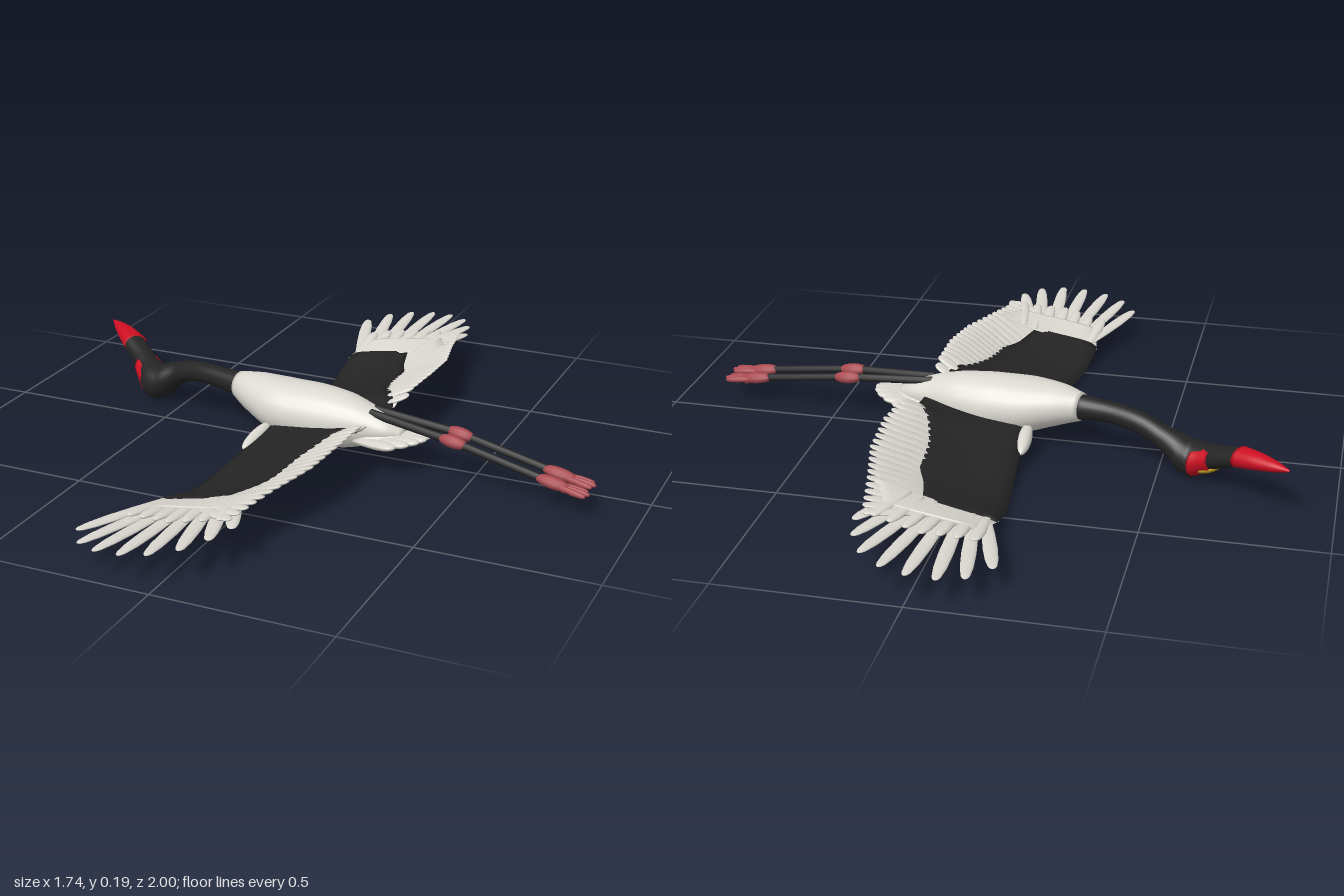
import * as THREE from 'three';

const V = (x, y, z) => new THREE.Vector3(x, y, z);
const paint = (name, color) => {
  const m = new THREE.MeshStandardMaterial({ color });
  m.name = name;
  return m;
};

// Piecewise linear lookup in [[key, value], ...]
const lookup = (table, k) => {
  if (k <= table[0][0]) return table[0][1];
  for (let i = 1; i < table.length; i++) {
    const [a, va] = table[i - 1], [b, vb] = table[i];
    if (k <= b) return va + (vb - va) * (k - a) / (b - a);
  }
  return table[table.length - 1][1];
};

// Skin over closed rings, with capped ends and faces turned outward
function skin(rings) {
  const n = rings[0].length, pos = [], idx = [];
  rings.forEach(r => r.forEach(p => pos.push(p.x, p.y, p.z)));
  for (let i = 0; i < rings.length - 1; i++) {
    for (let j = 0; j < n; j++) {
      const a = i * n + j, b = i * n + (j + 1) % n;
      idx.push(a, a + n, b, b, a + n, b + n);
    }
  }
  [0, rings.length - 1].forEach((r, end) => {
    const c = rings[r].reduce((s, p) => s.add(p), V(0, 0, 0)).divideScalar(n);
    const k = pos.length / 3;
    pos.push(c.x, c.y, c.z);
    for (let j = 0; j < n; j++) {
      const a = r * n + j, b = r * n + (j + 1) % n;
      idx.push(k, end ? b : a, end ? a : b);
    }
  });
  let volume = 0;
  const at = i => V(pos[i * 3], pos[i * 3 + 1], pos[i * 3 + 2]);
  for (let i = 0; i < idx.length; i += 3) volume += at(idx[i]).dot(at(idx[i + 1]).cross(at(idx[i + 2])));
  if (volume < 0) idx.reverse();
  const g = new THREE.BufferGeometry();
  g.setAttribute('position', new THREE.Float32BufferAttribute(pos, 3));
  g.setIndex(idx);
  g.computeVertexNormals();
  return g;
}

// Smooth body through sections [x, y, z, half height, half width]
function tubeThrough(sections, steps = 40, sides = 24) {
  const path = new THREE.CatmullRomCurve3(sections.map(s => V(s[0], s[1], s[2])));
  const size = new THREE.CatmullRomCurve3(sections.map(s => V(s[3], s[4], 0)));
  const rings = [];
  for (let i = 0; i <= steps; i++) {
    const c = path.getPoint(i / steps), r = size.getPoint(i / steps), t = path.getTangent(i / steps);
    const side = V(-t.z, 0, t.x).normalize();
    rings.push(Array.from({ length: sides }, (_, j) => {
      const a = j / sides * Math.PI * 2;
      return c.clone().addScaledVector(side, Math.cos(a) * Math.max(r.y, 0.002))
        .add(V(0, Math.sin(a) * Math.max(r.x, 0.002), 0));
    }));
  }
  return skin(rings);
}

// Flattened spindle from p to q; shape lists [radius, position] along it
const FEATHER = [[0, 0], [0.7, 0.02], [0.9, 0.3], [1, 0.6], [0.88, 0.82], [0.6, 0.95], [0.35, 0.985], [0, 1]];
const OVAL = Array.from({ length: 11 }, (_, i) => [Math.sin(i * Math.PI / 10), (1 - Math.cos(i * Math.PI / 10)) / 2]);
function spindle(p, q, width, thick, shape = FEATHER, sides = 10) {
  const g = new THREE.LatheGeometry(shape.map(s => new THREE.Vector2(Math.max(s[0], 0), s[1])), sides);
  const d = q.clone().sub(p), along = d.clone().normalize();
  const side = along.clone().cross(V(0, 1, 0)).normalize();
  const up = side.clone().cross(along);
  const m = new THREE.Matrix4().makeBasis(side.multiplyScalar(width), d, up.multiplyScalar(thick));
  return g.applyMatrix4(m.setPosition(p));
}

// Wing outline by span: leading edge, colour border, trailing edge, their heights, and the sag between
const LEAD = [[0, -0.11], [0.1, -0.115], [0.3, -0.138], [0.5, -0.165], [0.6, -0.172], [0.7, -0.17], [0.8, -0.165]];
const BORDER = [[0, 0.19], [0.1, 0.19], [0.15, 0.165], [0.2, 0.135], [0.3, 0.105], [0.44, 0.09], [0.5, 0.06], [0.62, 0.025]];
const TRAIL = [[0, 0.2], [0.12, 0.21], [0.3, 0.217], [0.45, 0.205], [0.6, 0.167], [0.7, 0.145], [0.8, 0.122]];
const LEAD_Y = [[0, 0.09], [0.1, 0.075], [0.2, 0.052], [0.3, 0.034], [0.4, 0.018], [0.47, 0.018], [0.6, 0.052], [0.7, 0.075], [0.85, 0.09], [1, 0.1]];
const TRAIL_Y = [[0, 0.115], [0.09, 0.125], [0.16, 0.165], [0.3, 0.168], [0.6, 0.145], [0.8, 0.122], [1, 0.11]];
const SAG = [[0, 0], [0.12, 0.01], [0.25, 0.02], [0.5, 0.02], [0.75, 0]];
const lead = z => lookup(LEAD, z), border = z => lookup(BORDER, z), trail = z => lookup(TRAIL, z);

// Point on the wing sheet; s is the side, with a slight yaw of the bird and a wider back wing
function onWing(x, z, s, lift = 0) {
  const k = (x - lead(z)) / (trail(z) - lead(z));
  const y0 = lookup(LEAD_Y, z), y1 = lookup(TRAIL_Y, z);
  const sag = lookup(SAG, z) * Math.sin(Math.PI * THREE.MathUtils.clamp(k, 0, 1));
  const spread = s < 0 ? 0.12 * Math.max(0, x - 0.09) : 0;
  return V(x + spread - 0.04 * s * z, y0 + k * (y1 - y0) - sag + lift, s * z);
}

// Thin wing panel between two edge rules
function panel(z0, z1, from, to, half, s) {
  const rings = [], n = 10;
  for (let i = 0; i <= 24; i++) {
    const z = z0 + (z1 - z0) * i / 24, ring = [];
    for (let j = 0; j <= 2 * n; j++) {
      const top = j <= n, t = (top ? j : 2 * n - j + 0.4) / n;
      const u = Math.min(t, 1);
      const h = half * Math.sin(Math.PI * 0.86 * Math.sqrt(u));
      ring.push(onWing(from(z) + (to(z) - from(z)) * u, z, s, top ? h : -h));
    }
    rings.push(ring);
  }
  return skin(rings);
}

export function createModel() {
  const bird = new THREE.Group();
  bird.name = 'flyingBird';
  const white = paint('white plumage', 0xdad7d0);
  const black = paint('black plumage', 0x242424);
  const red = paint('red bill', 0xcc0f22);
  const pink = paint('pink leg skin', 0xa9484e);
  const yellow = paint('yellow bill shield', 0xc0a01c);
  const add = (name, geometry, material, parent = bird) => {
    const m = new THREE.Mesh(geometry, material);
    m.name = name;
    parent.add(m);
  };

  // Body
  add('body', tubeThrough([
    [-0.264, 0.142, -0.042, 0.041, 0.039], [-0.2, 0.135, -0.024, 0.06, 0.068], [-0.1, 0.118, -0.004, 0.082, 0.094],
    [0, 0.11, 0.001, 0.09, 0.095], [0.1, 0.11, 0.01, 0.082, 0.083], [0.18, 0.112, 0.022, 0.06, 0.062],
    [0.25, 0.112, 0.03, 0.035, 0.045], [0.29, 0.11, 0.034, 0.012, 0.02],
  ]), white);

  // Neck, head and dark part of the bill
  add('neckAndHead', tubeThrough([
    [-0.255, 0.142, -0.04, 0.038, 0.036], [-0.36, 0.145, -0.068, 0.031, 0.03], [-0.45, 0.134, -0.1, 0.032, 0.03],
    [-0.51, 0.11, -0.122, 0.037, 0.034], [-0.56, 0.078, -0.132, 0.053, 0.05], [-0.6, 0.064, -0.14, 0.054, 0.054],
    [-0.645, 0.086, -0.17, 0.04, 0.04], [-0.69, 0.11, -0.207, 0.032, 0.035], [-0.742, 0.134, -0.245, 0.027, 0.034],
  ], 56), black);
  add('billTip', tubeThrough([
    [-0.733, 0.132, -0.24, 0.03, 0.037], [-0.78, 0.142, -0.277, 0.025, 0.031],
    [-0.83, 0.15, -0.315, 0.016, 0.019], [-0.872, 0.156, -0.346, 0.003, 0.003],
  ], 16), red);
  // Red saddle hugging the sides and underside of the bill, with a yellow shield below
  add('billBase', tubeThrough([
    [-0.613, 0.066, -0.148, 0.049, 0.054], [-0.635, 0.078, -0.163, 0.043, 0.047], [-0.662, 0.092, -0.184, 0.037, 0.041],
  ], 8), red);
  add('billShield', spindle(V(-0.616, 0.04, -0.149), V(-0.67, 0.067, -0.191), 0.034, 0.013, OVAL, 16), yellow);

  // Wings
  for (const s of [1, -1]) {
    const wing = new THREE.Group();
    wing.name = s > 0 ? 'frontWing' : 'backWing';
    bird.add(wing);
    add('wingCoverts', panel(0.02, 0.61, lead, border, 0.014, s), black, wing);
    add('featherSheet', panel(0.1, 0.66, z => border(z) - 0.03, z => trail(z) - 0.015, 0.005, s), white, wing);
    add('handSheet', panel(0.595, 0.7, z => lead(z) + (z - 0.6) * 0.2, z => trail(z) - 0.015 - (z - 0.6) * 0.3, 0.009, s), white, wing);
    add('shoulder', spindle(onWing(-0.115, 0.06, s), onWing(-0.128, 0.2, s), 0.021, 0.019, OVAL), white, wing);

    // Trailing feathers
    const count = 21;
    for (let i = 0; i < count; i++) {
      const z = 0.13 + i * 0.57 / (count - 1), fan = 0.01 + 0.055 * i / count;
      add('trailingFeather', spindle(onWing(border(z) - 0.01, z - 0.01, s), onWing(trail(z + fan) + 0.006, z + fan, s),
        0.021, 0.007), white, wing);
    }
    // Spread tip feathers: [tip x, tip span]
    const tips = [[-0.235, 0.888], [-0.185, 0.96], [-0.12, 0.993], [-0.045, 1], [0.025, 0.985], [0.09, 0.94], [0.132, 0.868], [0.155, 0.79]];
    tips.forEach(([x, z], i) => {
      const root = onWing(-0.145 + i * 0.032, 0.62, s, 0.003);
      const tip = V(x - 0.04 * s * z, 0.103 + 0.1 * x, s * z);
      add('tipFeather', spindle(root, tip, 0.02, 0.006), white, wing);
      // Short covering feather between neighbours
      if (i < 7) add('tipCovert', spindle(onWing(-0.14 + i * 0.035, 0.6, s, 0.004),
        onWing(-0.155 + i * 0.044, 0.8 - Math.abs(i - 3) * 0.01, s, 0.002), 0.019, 0.008), white, wing);
    });
  }

  // Tail fan
  for (let i = 0; i < 9; i++) {
    const a = (i - 4) / 4;
    add('tailFeather', spindle(V(0.15, 0.075, 0.02 + a * 0.035),
      V(0.372 - 0.075 * a * a, 0.113 - 0.012 * a * a, 0.036 + a * 0.09), 0.028, 0.013), white);
  }
  add('tailUnderside', spindle(V(0.08, 0.075, 0.01), V(0.32, 0.1, 0.034), 0.065, 0.027, OVAL, 16), white);

  // Legs trailing behind
  [[0.008, 0.026, 0.066, 0.078], [0.04, 0.088, 0.13, 0.143]].forEach(([z0, z1, z2, z3], i) => {
    const leg = new THREE.Group();
    leg.name = i ? 'frontLeg' : 'backLeg';
    bird.add(leg);
    const hip = V(0.19, 0.158, z0), knee = V(0.455, 0.136, z1), ankle = V(0.74, 0.089, z2);
    const ROD = [[0, 0], [1, 0], [1, 1], [0, 1]];
    add('upperLeg', spindle(hip, knee, 0.012, 0.012, ROD), black, leg);
    add('lowerLeg', spindle(knee, ankle, 0.011, 0.011, ROD), black, leg);
    add('knee', spindle(V(0.41, 0.14, z1 - 0.007), V(0.5, 0.13, z1 + 0.006), 0.02, 0.018, OVAL), pink, leg);
    add('foot', spindle(V(0.705, 0.094, z2 - 0.004), V(0.81, 0.078, z2 + 0.006), 0.02, 0.017, OVAL), pink, leg);
    for (const k of [-1, 0, 1]) {
      add('toe', spindle(V(0.76, 0.084, z2 + k * 0.008), V(0.864 - Math.abs(k) * 0.008, 0.073, z3 + k * 0.018),
        0.009, 0.009), pink, leg);
    }
    add('hindToe', spindle(V(0.74, 0.09, z2), V(0.8, 0.066, z2 + 0.004), 0.009, 0.008), pink, leg);
  });

  return bird;
}
